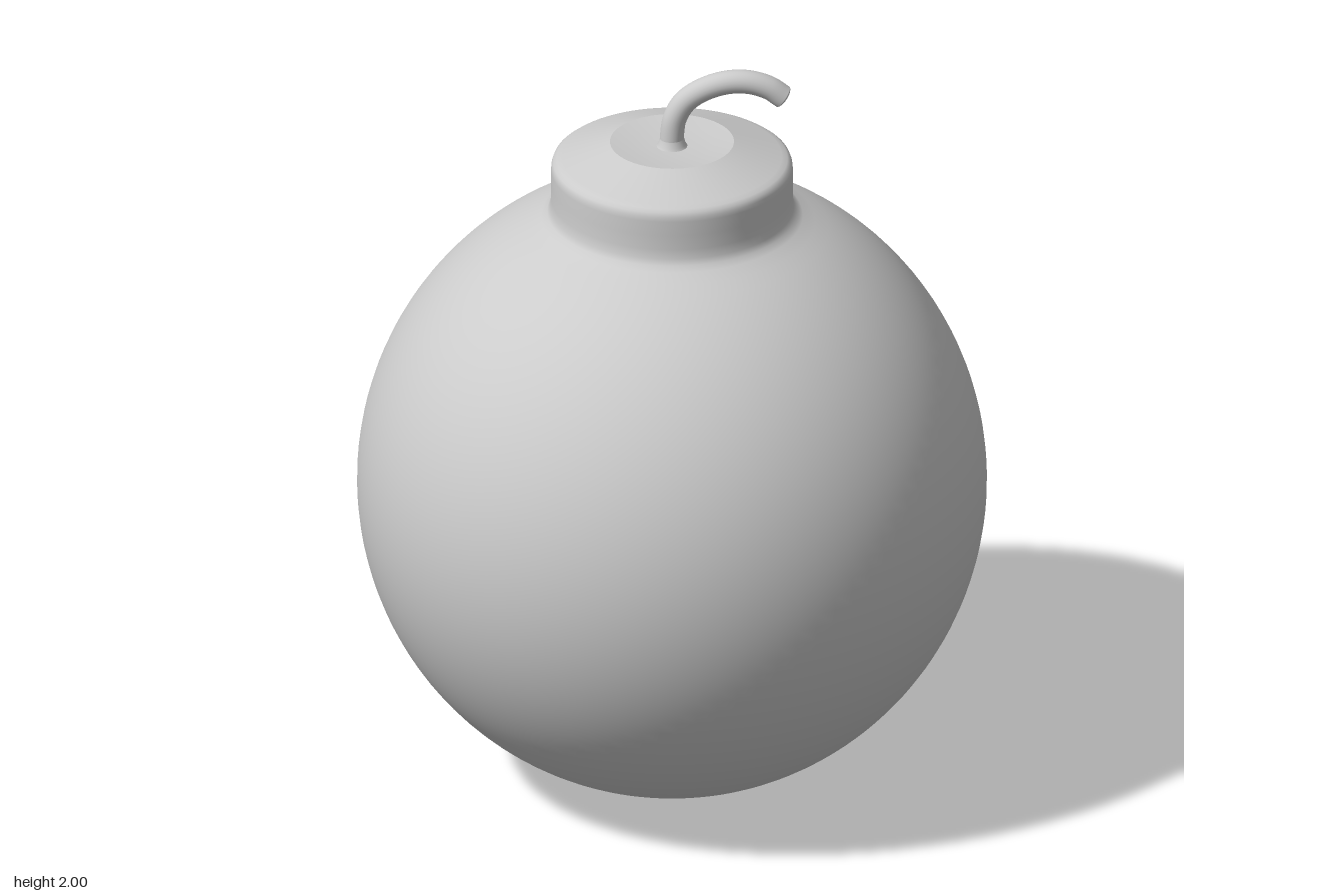
import * as THREE from 'three';

const material = new THREE.MeshStandardMaterial({ color: 0xcccccc, side: THREE.DoubleSide });
const v2 = (p) => new THREE.Vector2(p[0], p[1]);

function addMesh(group, name, geometry) {
  const mesh = new THREE.Mesh(geometry, material);
  mesh.name = name;
  group.add(mesh);
  return mesh;
}

export function createModel() {
  const model = new THREE.Group();
  model.name = 'roundBomb';

  // Round body: slightly tall ellipse, running up to the neck fillet
  const rx = 0.813, ry = 0.83, steps = 56;
  const end = Math.PI - Math.asin(0.37 / rx);
  const profile = [];
  for (let i = 0; i <= steps; i++) {
    const a = (end * i) / steps;
    profile.push(new THREE.Vector2(rx * Math.sin(a), ry - ry * Math.cos(a)));
  }

  // Fillet, straight neck and rounded shoulder in the same skin
  profile.push(...[
    [0.338, 1.587], [0.322, 1.599], [0.315, 1.615], [0.312, 1.64], [0.312, 1.68],
    [0.312, 1.72], [0.311, 1.732], [0.307, 1.743], [0.298, 1.75], [0.285, 1.755],
  ].map(v2));
  addMesh(model, 'body', new THREE.LatheGeometry(profile, 96));

  // Sloping collar top
  addMesh(model, 'collarTop', new THREE.LatheGeometry(
    [[0.285, 1.755], [0.22, 1.778], [0.16, 1.799]].map(v2), 96));

  // Shallow dish around the fuse
  addMesh(model, 'fuseDish', new THREE.LatheGeometry(
    [[0.16, 1.799], [0.11, 1.792], [0.055, 1.788], [0, 1.787]].map(v2), 96));

  // Curved fuse
  const fusePath = new THREE.CatmullRomCurve3([
    [0, 1.77], [0, 1.815], [0.008, 1.868], [0.034, 1.914], [0.08, 1.947],
    [0.14, 1.967], [0.196, 1.968], [0.25, 1.951], [0.286, 1.925],
  ].map(([x, y]) => new THREE.Vector3(x, y, 0)));
  const radius = 0.031;
  addMesh(model, 'fuse', new THREE.TubeGeometry(fusePath, 48, radius, 24));

  // Softly rounded fuse end
  const tip = addMesh(model, 'fuseTip',
    new THREE.SphereGeometry(radius, 24, 8, 0, Math.PI * 2, 0, Math.PI / 2));
  tip.scale.y = 0.3;
  tip.position.copy(fusePath.getPoint(1));
  tip.quaternion.setFromUnitVectors(new THREE.Vector3(0, 1, 0), fusePath.getTangent(1));

  // Small flare where the fuse leaves the dish
  addMesh(model, 'fuseBase', new THREE.LatheGeometry(
    [[0.042, 1.785], [0.036, 1.793], [0.031, 1.81]].map(v2), 24));

  return model;
}
